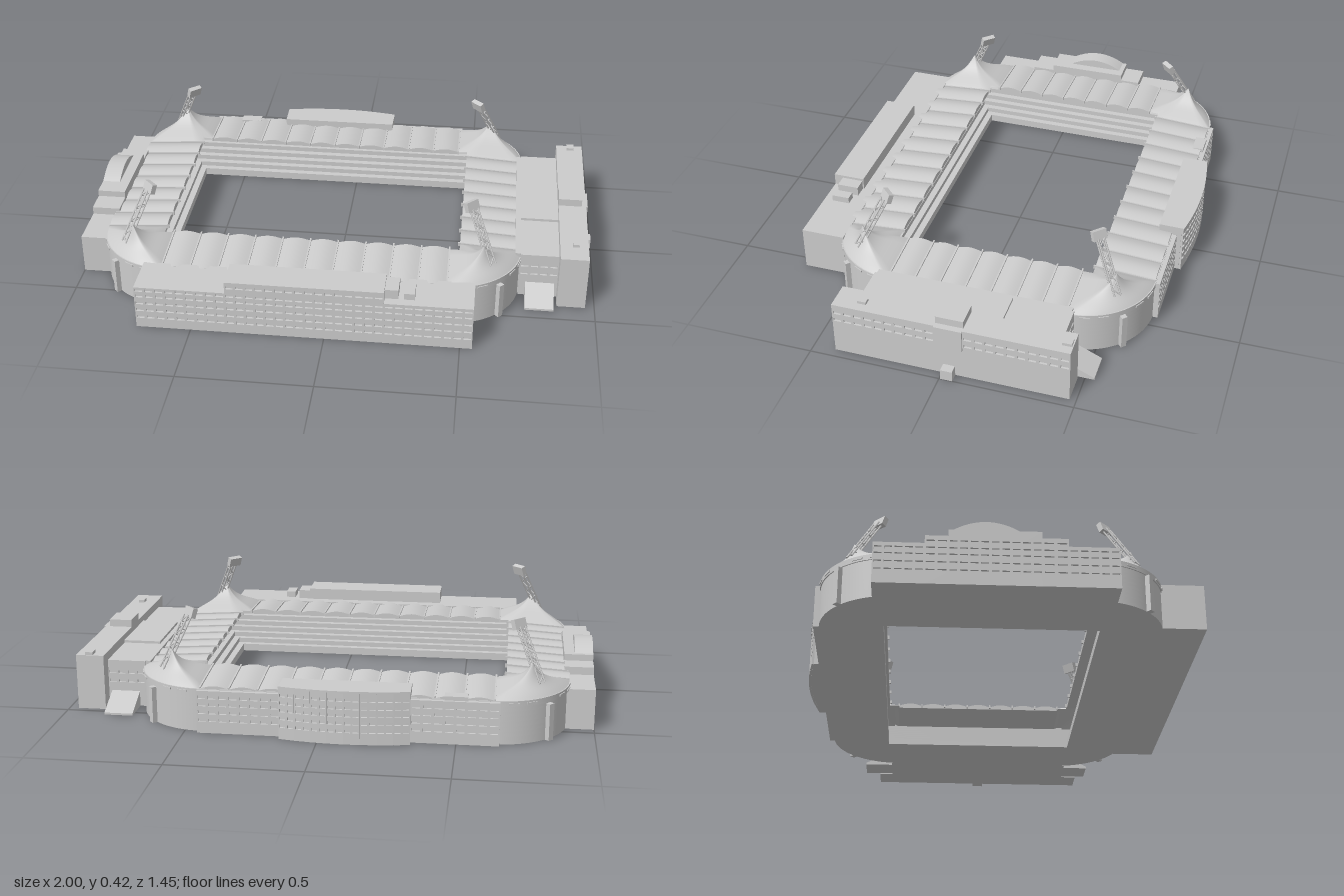
import * as THREE from 'three';
import { toCreasedNormals } from 'three/addons/utils/BufferGeometryUtils.js';

const mat = new THREE.MeshStandardMaterial({ color: 0xcccccc });
const thin = new THREE.MeshStandardMaterial({ color: 0xcccccc, side: THREE.DoubleSide });

// Stadium ring: centre, outer half sizes, pitch opening half sizes, corner radius
const CX = -0.0975, CZ = -0.045, HX = 0.8075, HZ = 0.615, IX = 0.575, IZ = 0.385, R = 0.27;

function add(parent, name, geo, m = mat) {
  const mesh = new THREE.Mesh(geo, m);
  mesh.name = name;
  parent.add(mesh);
  return mesh;
}

// Box given by its limits
function block(parent, name, x0, x1, y0, y1, z0, z1) {
  const b = add(parent, name, new THREE.BoxGeometry(x1 - x0, y1 - y0, z1 - z0));
  b.position.set((x0 + x1) / 2, (y0 + y1) / 2, (z0 + z1) / 2);
  return b;
}

function extrude(shape, depth) {
  return toCreasedNormals(new THREE.ExtrudeGeometry(shape, { depth, bevelEnabled: false, curveSegments: 16 }), 0.4);
}

function rectPath(Type, x0, x1, y0, y1) {
  return new Type([[x0, y0], [x1, y0], [x1, y1], [x0, y1]].map(p => new THREE.Vector2(...p)));
}

// Wall panel pierced by rows of windows; its back sits on (x, z) and it faces along angle
const SKIN = 0.008;
function facade(parent, x, z, angle, w, h, rows, cols) {
  const shape = rectPath(THREE.Shape, -w / 2, w / 2, 0, h);
  const pitch = w / cols, half = pitch * 0.37;
  for (const y of rows) for (let c = 0; c < cols; c++) {
    const u = -w / 2 + (c + 0.5) * pitch;
    shape.holes.push(rectPath(THREE.Path, u - half, u + half, y - 0.006, y + 0.006));
  }
  const f = add(parent, 'windowWall', extrude(shape, SKIN));
  f.position.set(x, 0, z);
  f.rotation.y = angle;
}

function beam(parent, name, a, b, r) {
  const d = b.clone().sub(a);
  const m = add(parent, name, new THREE.CylinderGeometry(r, r, d.length(), 5));
  m.position.copy(a).addScaledVector(d, 0.5);
  m.quaternion.setFromUnitVectors(new THREE.Vector3(0, 1, 0), d.normalize());
}

function roundedRect(hx, hz, r) {
  const s = new THREE.Shape();
  s.absarc(hx - r, hz - r, r, 0, Math.PI / 2);
  s.absarc(-hx + r, hz - r, r, Math.PI / 2, Math.PI);
  s.absarc(-hx + r, -hz + r, r, Math.PI, Math.PI * 1.5);
  s.absarc(hx - r, -hz + r, r, Math.PI * 1.5, Math.PI * 2);
  s.closePath();
  return s;
}

// Outer wall and stepped seating as stacked rings
function buildBowl(parent) {
  const layer = (name, y0, y1, grow, out) => {
    const s = roundedRect(HX + out, HZ + out, R + out);
    s.holes.push(rectPath(THREE.Path, -IX - grow, IX + grow, -IZ - grow, IZ + grow));
    const m = add(parent, name, extrude(s, y1 - y0).rotateX(-Math.PI / 2));
    m.position.set(CX, y0, CZ);
  };
  layer('frontRow', 0, 0.03, 0, 0);
  for (let i = 0; i < 6; i++) layer('seatingStep', 0.03 + i * 0.019, 0.049 + i * 0.019, 0.025 + i * 0.025, 0);
  const wall = roundedRect(HX + 0.004, HZ + 0.004, R + 0.004);
  wall.holes.push(roundedRect(HX - 0.02, HZ - 0.02, R - 0.02));
  add(parent, 'cornice', extrude(wall, 0.021).rotateX(-Math.PI / 2)).position.set(CX, 0.144, CZ);
}

// Scalloped stand roof, one barrel per bay, sloping gently outwards
function buildStandRoof(parent, angle, halfLen, inner, depth, bays) {
  const g = new THREE.Group();
  g.name = 'standRoof';
  const bay = 2 * halfLen / bays, s = new THREE.Shape();
  s.moveTo(-halfLen, -0.01);
  for (let i = 0; i <= bays * 8; i++)
    s.lineTo(-halfLen + i * bay / 8, 0.011 * Math.sin(Math.PI * (i % 8) / 8));
  s.lineTo(halfLen, -0.01);
  const geo = new THREE.ExtrudeGeometry(s, { depth, bevelEnabled: false });
  const p = geo.attributes.position;
  for (let i = 0; i < p.count; i++) p.setY(i, p.getY(i) + 0.18 - 0.015 * p.getZ(i) / depth);
  add(g, 'roofBays', toCreasedNormals(geo, 0.4)).position.z = inner;
  for (let i = 0; i <= bays; i++) {
    const rib = add(g, 'roofRib', new THREE.BoxGeometry(0.006, 0.014, depth + 0.008));
    rib.position.set(-halfLen + i * bay, 0.1725, inner + depth / 2 - 0.004);
    rib.rotation.x = 0.015 / depth;
  }
  g.position.set(CX, 0, CZ);
  g.rotation.y = angle;
  parent.add(g);
}

// Tent-like corner roof rising to a point, lofted in shrinking loops
function cornerRoof(sx, sz) {
  const ax = 0.668, az = 0.495, loop = [];
  for (let i = 0; i <= 20; i++) {
    const a = i / 20 * Math.PI / 2;
    loop.push([HX - R + R * Math.cos(a), HZ - R + R * Math.sin(a), 0.165]);
  }
  for (let i = 1; i <= 6; i++) loop.push([HX - R, HZ + (IZ - HZ) * i / 6, 0.165 + 0.015 * i / 6]);
  loop.push([IX, IZ, 0.18]);
  for (let i = 0; i < 6; i++) loop.push([IX + (HX - IX) * i / 6, HZ - R, 0.18 - 0.015 * i / 6]);
  const pos = [], idx = [], n = loop.length, rings = 12;
  for (let k = 0; k <= rings; k++) for (const [x, z, e] of loop) {
    const t = k / rings;
    const y = e * t + 0.17 * (1 - t) + 0.04 * (1 - t * t) + 0.065 * (1 - t) ** 4;
    pos.push(CX + sx * (ax + (x - ax) * t), y, CZ + sz * (az + (z - az) * t));
  }
  for (let k = 0; k < rings; k++) for (let i = 0; i < n; i++) {
    const a = k * n + i, b = k * n + (i + 1) % n, c = a + n, d = b + n;
    const quad = k ? [a, b, c, b, d, c] : [a, d, c];
    if (sx * sz < 0) quad.reverse();
    idx.push(...quad);
  }
  const g = new THREE.BufferGeometry();
  g.setAttribute('position', new THREE.Float32BufferAttribute(pos, 3));
  g.setIndex(idx);
  g.computeVertexNormals();
  return g;
}

// Leaning lattice mast with a lamp panel facing the pitch
function buildFloodlight(parent, sx, sz) {
  const g = new THREE.Group();
  g.name = 'floodlight';
  const P = (x, y, z) => new THREE.Vector3(CX + sx * x, y, CZ + sz * z);
  const base = P(0.7, 0.2, 0.505), top = P(0.622, 0.385, 0.418);
  const side = new THREE.Vector3(sx, 0, -sz).normalize();
  const out = top.clone().sub(base).normalize().cross(side);
  const at = (t, u, v) => base.clone().lerp(top, t).addScaledVector(side, u * 0.013).addScaledVector(out, v * 0.008);
  for (const v of [-1, 1]) {
    for (const u of [-1, 1]) beam(g, 'mastRail', at(0, u, v), at(1, u, v), 0.0035);
    for (let i = 0; i < 8; i++) {
      const u = i % 2 ? 1 : -1;
      beam(g, 'mastBrace', at(i / 8, u, v), at((i + 1) / 8, -u, v), 0.0025);
      beam(g, 'mastRung', at(i / 8, u, -1), at(i / 8, u, 1), 0.0025);
    }
  }
  const lamp = add(g, 'lampPanel', new THREE.BoxGeometry(0.056, 0.038, 0.02));
  lamp.position.copy(P(0.613, 0.395, 0.41));
  lamp.rotation.set(0.35, Math.atan2(-sx, -sz), 0, 'YXZ');
  parent.add(g);
}

function buildCorner(parent, sx, sz) {
  add(parent, 'cornerRoof', cornerRoof(sx, sz), thin);
  buildFloodlight(parent, sx, sz);
  // Stair shaft and high slit windows on the curved wall
  const onWall = (name, a, r, y, w, h, d) => {
    const m = add(parent, name, new THREE.BoxGeometry(w, h, d));
    m.position.set(CX + sx * (HX - R + r * Math.cos(a)), y, CZ + sz * (HZ - R + r * Math.sin(a)));
    m.rotation.y = Math.atan2(sx * Math.cos(a), sz * Math.sin(a));
  };
  onWall('stairShaft', Math.PI / 4, R + 0.007, 0.07, 0.022, 0.14, 0.024);
  for (const a of [0.25, 0.5, 1.07, 1.32]) onWall('slitWindow', a, R + 0.003, 0.154, 0.04, 0.007, 0.008);
}

function buildFrontBuilding(g) {
  const rows = [0.045, 0.076, 0.107, 0.138, 0.163], z = 0.712;
  block(g, 'frontBuilding', -0.705, 0.545, 0, 0.175, 0.55, z);
  block(g, 'frontUpperFloor', -0.365, 0.22, 0.175, 0.222, 0.595, z);
  facade(g, -0.535, z, 0, 0.34, 0.175, rows, 9);
  facade(g, -0.0725, z, 0, 0.585, 0.222, [...rows, 0.2], 16);
  facade(g, 0.3825, z, 0, 0.325, 0.175, rows, 9);
  block(g, 'roofHut', 0.22, 0.27, 0.175, 0.212, 0.6, 0.685);
  block(g, 'roofHut', 0.29, 0.33, 0.175, 0.2, 0.615, 0.685);
}

function buildBackBuilding(g) {
  const rows = [0.05, 0.08, 0.11, 0.138];
  block(g, 'backBuilding', -0.655, 0.45, 0, 0.163, -0.672, -0.56);
  facade(g, -0.495, -0.672, Math.PI, 0.32, 0.163, rows, 8);
  facade(g, 0.295, -0.672, Math.PI, 0.31, 0.163, rows, 8);
  block(g, 'roofHut', -0.54, -0.455, 0.163, 0.178, -0.67, -0.625);
  // Bowed central block with a windowed curved front and a roof lip
  const r = 1.14, x = -0.0975, zc = -0.722 + r, a = Math.asin(0.2375 / r);
  const bow = (rr, h, name, y) => {
    const s = new THREE.Shape();
    s.moveTo(0.2375, -0.61);
    s.lineTo(-0.2375, -0.61);
    for (let i = -12; i <= 12; i++) s.lineTo(rr * Math.sin(a * i / 12), zc - rr * Math.cos(a * i / 12));
    add(g, name, extrude(s, h).rotateX(Math.PI / 2)).position.set(x, y, 0);
  };
  bow(r, 0.195, 'bowedBlock', 0.195);
  bow(r + 0.01, 0.007, 'bowedRoofLip', 0.202);
  for (let i = 0; i < 8; i++) {
    const t = a * (i - 3.5) / 4;
    facade(g, x + r * Math.sin(t), zc - r * Math.cos(t), Math.PI - t, 0.0595, 0.195, [...rows, 0.168], 2);
  }
}

function buildLeftSide(g) {
  // Office range on +x: inner wing, tall outer slab, entrance and ramps
  block(g, 'innerWing', 0.69, 0.858, 0, 0.182, -0.412, 0.342);
  block(g, 'innerWingRise', 0.71, 0.858, 0.182, 0.192, -0.19, 0.1);
  facade(g, 0.784, 0.342, 0, 0.148, 0.182, [0.1, 0.135], 4);
  facade(g, 0.784, -0.412, Math.PI, 0.148, 0.182, [0.1, 0.135], 4);
  block(g, 'officeSlab', 0.857, 0.957, 0, 0.215, -0.475, 0.415);
  facade(g, 0.957, 0.22, Math.PI / 2, 0.39, 0.215, [0.147, 0.18], 10);
  facade(g, 0.957, -0.2775, Math.PI / 2, 0.395, 0.215, [0.147, 0.18], 10);
  block(g, 'centralBay', 0.95, 0.972, 0.125, 0.215, -0.08, 0.025);
  block(g, 'officeSlabCentre', 0.955, 0.965, 0, 0.215, -0.08, 0.025);
  block(g, 'centralPenthouse', 0.857, 0.948, 0.215, 0.244, -0.08, 0.025);
  block(g, 'entrancePorch', 0.96, 1, 0, 0.042, -0.05, -0.005);
  block(g, 'roofHut', 0.9, 0.93, 0.215, 0.226, -0.47, -0.435);
  block(g, 'roofHut', 0.905, 0.93, 0.215, 0.226, 0.295, 0.328);
  for (const [z, len, dir] of [[0.345, 0.107, 1], [-0.415, 0.12, -1]]) {
    const s = new THREE.Shape([[0, 0], [len, 0], [len, 0.008], [0, 0.062]].map(p => new THREE.Vector2(...p)));
    const ramp = add(g, 'ramp', extrude(s, 0.11).translate(0, 0, -0.055));
    ramp.position.set(0.79, 0, z);
    ramp.rotation.y = -dir * Math.PI / 2;
  }
}

function buildRightSide(g) {
  // Stepped range on -x, rising to an arched centre
  const rows = [0.05, 0.08, 0.11, 0.135];
  for (const [z0, z1, h, cols] of [[-0.465, -0.29, 0.155, 5], [-0.29, -0.21, 0.185, 2], [-0.21, 0.11, 0.21, 9],
    [0.11, 0.2, 0.185, 2], [0.2, 0.375, 0.155, 5]]) {
    block(g, 'sideRange', -0.992, -0.89, 0, h, z0, z1);
    facade(g, -0.992, (z0 + z1) / 2, -Math.PI / 2, z1 - z0, h, h > 0.16 ? [...rows, 0.162] : rows, cols);
  }
  const s = new THREE.Shape();
  s.moveTo(-0.12, 0.205);
  s.lineTo(0.12, 0.205);
  s.quadraticCurveTo(0, 0.281, -0.12, 0.205);
  const arch = add(g, 'archedGable', extrude(s, 0.07));
  arch.position.set(-0.93, 0, -0.08);
  arch.rotation.y = -Math.PI / 2;
}

export function createModel() {
  const model = new THREE.Group();
  model.name = 'stadium';
  const part = (name, build) => {
    const g = new THREE.Group();
    g.name = name;
    build(g);
    model.add(g);
  };
  part('bowl', buildBowl);
  part('roof', g => {
    for (const s of [0, 1]) {
      buildStandRoof(g, s * Math.PI, HX - R, IZ, HZ - IZ, 10);
      buildStandRoof(g, Math.PI / 2 + s * Math.PI, HZ - R, IX, HX - IX, 7);
    }
  });
  part('corners', g => { for (const sx of [-1, 1]) for (const sz of [-1, 1]) buildCorner(g, sx, sz); });
  part('frontRange', buildFrontBuilding);
  part('backRange', buildBackBuilding);
  part('leftRange', buildLeftSide);
  part('rightRange', buildRightSide);
  return model;
}
